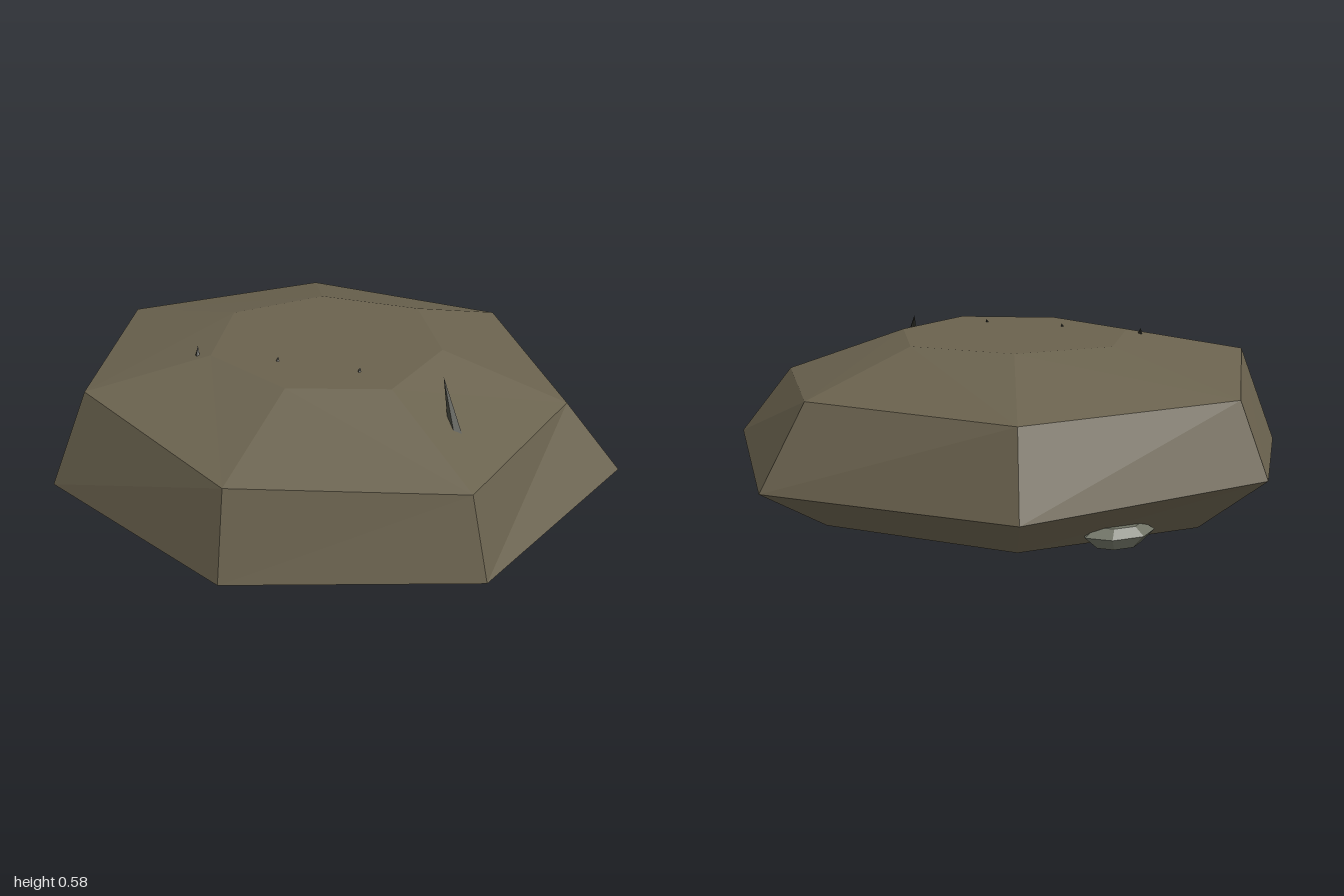
import * as THREE from 'three';

// Seven-sided rings, listed counter-clockwise seen from above: [x, y, z]
const B = 0.003, T = 0.565;
const base = [[-0.77, B, -0.27], [-0.7, B, 0.38], [-0.11, B, 0.7], [0.45, B, 0.47], [0.74, B, -0.09], [0.39, B, -0.65], [-0.29, B, -0.7]];
const rim = [[-1, 0.2, -0.33], [-0.9, 0.13, 0.49], [-0.14, 0.13, 0.89], [0.67, 0.13, 0.65], [1, 0.15, -0.12], [0.53, 0.15, -0.84], [-0.36, 0.155, -0.89]];
const shoulder = [[-0.9, 0.45, -0.31], [-0.78, 0.48, 0.42], [-0.14, 0.44, 0.81], [0.6, 0.41, 0.59], [0.8, 0.4, -0.1], [0.43, 0.43, -0.7], [-0.32, 0.43, -0.79]];
const crown = [[-0.44, T, -0.15], [-0.4, T, 0.2], [-0.08, T, 0.36], [0.26, T, 0.27], [0.36, T, -0.06], [0.2, T, -0.37], [-0.17, T, -0.38]];

function rockGeometry() {
  const pos = [];
  const tri = (a, b, c) => pos.push(...a, ...b, ...c);
  const n = rim.length;
  for (let i = 0; i < n; i++) {
    const j = (i + 1) % n;
    // undercut and side wall
    for (const [lo, hi] of [[base, rim], [rim, shoulder]]) {
      tri(lo[i], lo[j], hi[j]);
      tri(lo[i], hi[j], hi[i]);
    }
    // sloping top
    tri(shoulder[i], shoulder[j], crown[i]);
    tri(shoulder[j], crown[j], crown[i]);
    // flat caps
    tri([0, T, 0], crown[i], crown[j]);
    tri([0, B, 0], base[j], base[i]);
  }
  const geo = new THREE.BufferGeometry();
  geo.setAttribute('position', new THREE.Float32BufferAttribute(pos, 3));
  geo.computeVertexNormals();
  return geo;
}

export function createModel() {
  const model = new THREE.Group();
  model.name = 'rock';
  const material = (color) => new THREE.MeshStandardMaterial({ color, flatShading: true });
  const stone = material(0x6a624e);
  const pebbleMat = material(0x6f7264);
  const spikeMat = material(0x3f4038);

  const add = (name, geo, mat) => {
    const mesh = new THREE.Mesh(geo, mat);
    mesh.name = name;
    model.add(mesh);
    return mesh;
  };

  add('boulder', rockGeometry(), stone);

  // Flattened pebbles wedged under the boulder
  for (const [x, z, rx, ry, rz, turn] of [[-0.56, -0.51, 0.13, 0.035, 0.085, 0.72], [-0.12, -0.45, 0.11, 0.03, 0.05, 0.3]]) {
    const geo = new THREE.CylinderGeometry(0.65, 0.6, 2, 7, 2);
    const p = geo.attributes.position;
    for (let i = 0; i < p.count; i++) {
      if (Math.abs(p.getY(i)) < 0.01) p.setXYZ(i, p.getX(i) * 1.55, 0.2, p.getZ(i) * 1.55);
    }
    geo.scale(rx, ry, rz);
    const pebble = add('pebble', geo, pebbleMat);
    pebble.position.set(x, ry, z);
    pebble.rotation.y = turn;
  }

  // Thin splinters breaking through the top, from root to tip
  const up = new THREE.Vector3(0, 1, 0);
  const splinter = (root, tip, radius) => {
    const a = new THREE.Vector3(...root), b = new THREE.Vector3(...tip);
    const dir = b.clone().sub(a);
    const mesh = add('splinter', new THREE.ConeGeometry(radius, dir.length(), 5), spikeMat);
    mesh.position.copy(a).lerp(b, 0.5);
    mesh.quaternion.setFromUnitVectors(up, dir.normalize());
  };
  splinter([-0.44, 0.51, 0.23], [-0.46, 0.578, 0.165], 0.022);
  splinter([-0.165, 0.54, 0.19], [-0.165, 0.578, 0.17], 0.016);
  splinter([0.125, 0.54, 0.19], [0.125, 0.578, 0.17], 0.016);
  splinter([0.5, 0.44, 0.345], [0.41, 0.578, 0.16], 0.026);

  return model;
}
